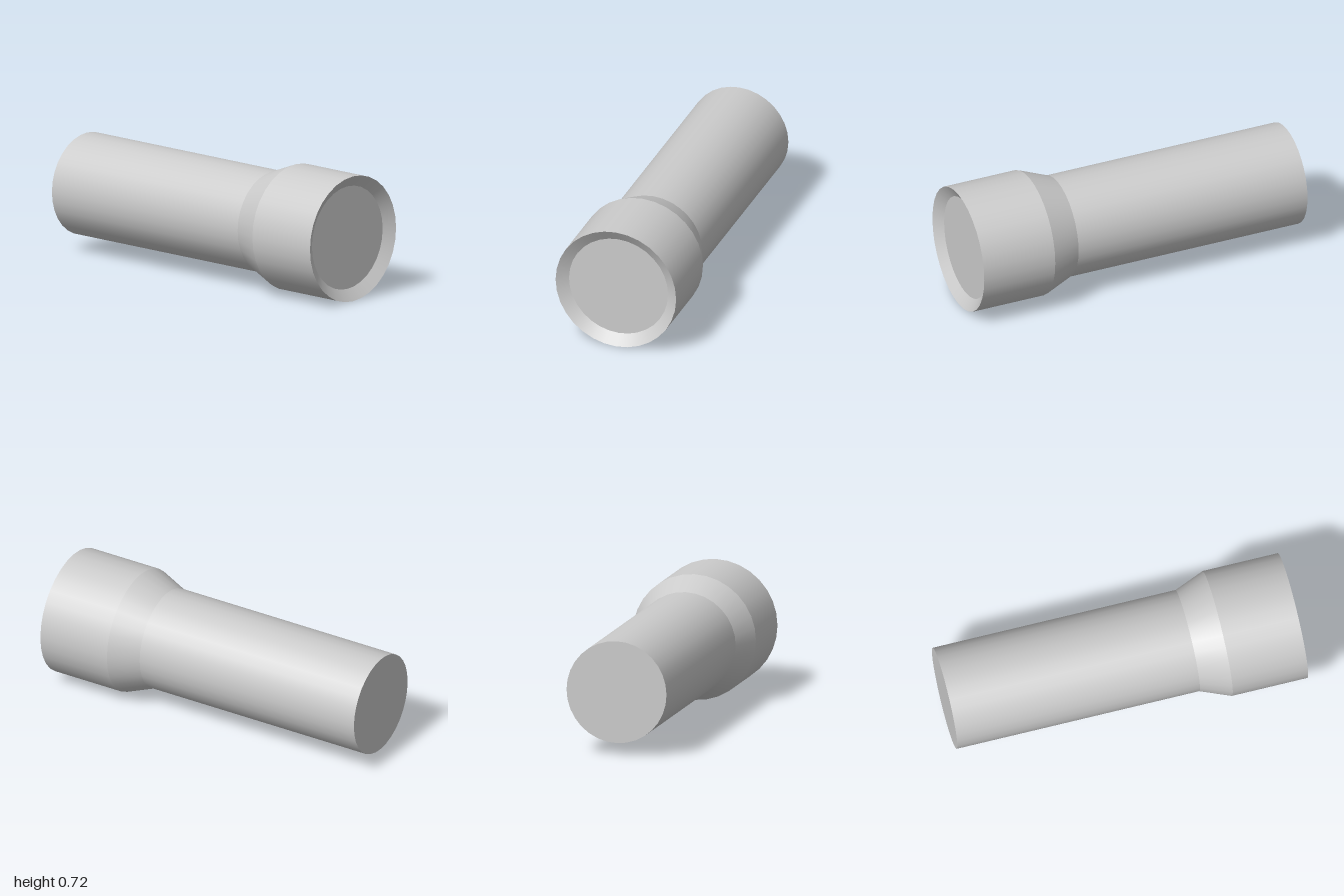
import * as THREE from 'three';

const SIDES = 32;
const SHAFT_R = 0.29, HEAD_R = 0.358, LENS_R = 0.294, LENS_X = 0.957;

// Each band is a surface of revolution about the x axis, [x, radius] to [x, radius];
// separate bands keep the creases between them sharp.
const BANDS = {
  tailCap: [[-1, 0], [-1, SHAFT_R]],
  shaft: [[-1, SHAFT_R], [0.395, SHAFT_R]],
  taper: [[0.395, SHAFT_R], [0.567, HEAD_R]],
  head: [[0.567, HEAD_R], [1, HEAD_R]],
  recessWall: [[1, HEAD_R], [LENS_X, LENS_R]],
  recessFace: [[LENS_X, LENS_R], [LENS_X, 0]],
};

export function createModel() {
  const group = new THREE.Group();
  group.name = 'steppedCylinder';
  const material = new THREE.MeshStandardMaterial({ color: 0xcccccc });

  for (const [name, profile] of Object.entries(BANDS)) {
    const points = profile.map(([x, r]) => new THREE.Vector2(r, x));
    const geometry = new THREE.LatheGeometry(points, SIDES);
    // Lay the axis along +x and rest the head on the ground
    geometry.rotateZ(-Math.PI / 2).translate(0, HEAD_R, 0);
    const mesh = new THREE.Mesh(geometry, material);
    mesh.name = name;
    group.add(mesh);
  }
  return group;
}
